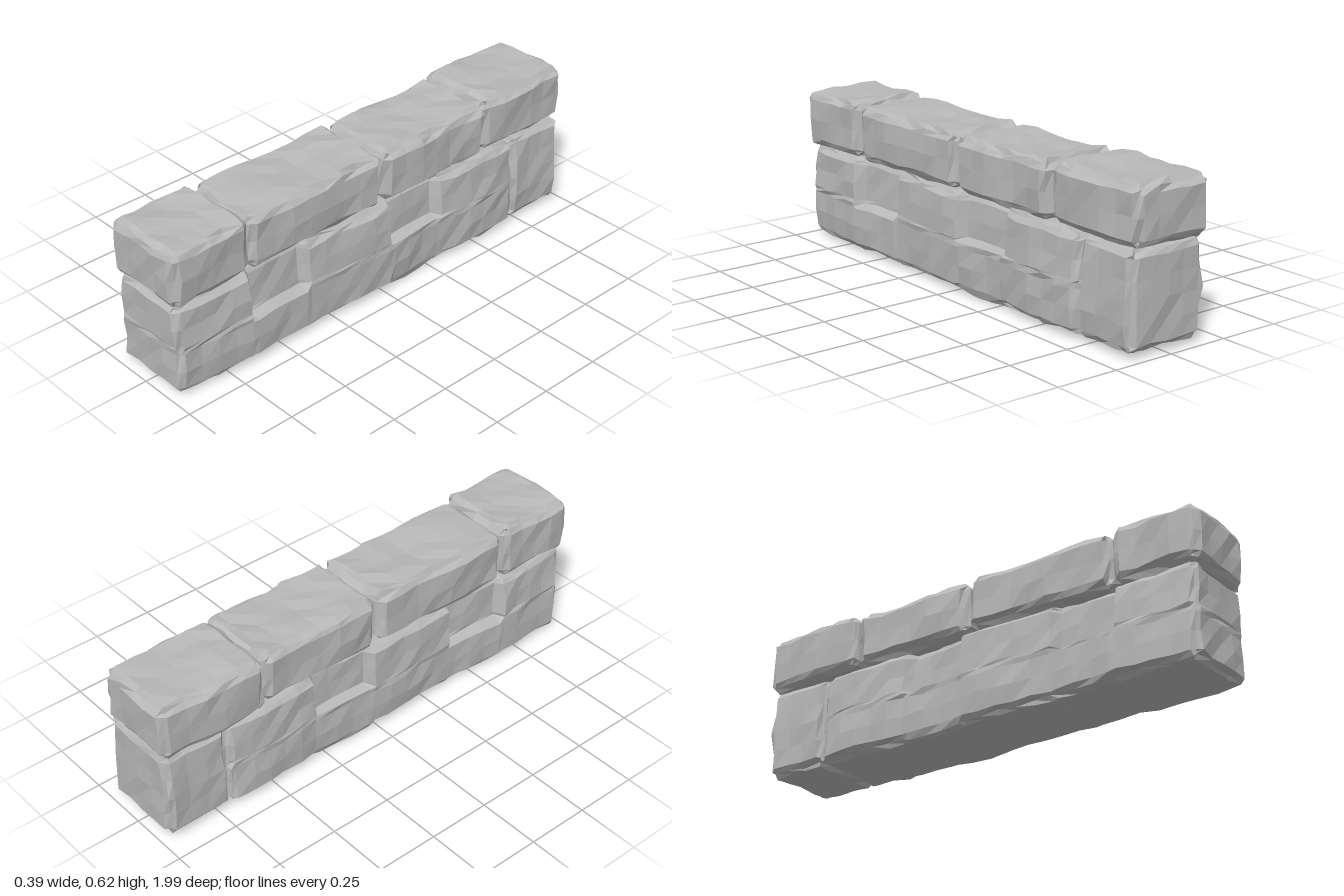
import * as THREE from 'three';

const stoneGrey = new THREE.MeshStandardMaterial({ color: 0xb8b8b8 });
stoneGrey.name = 'stone grey';

// Repeatable noise from -1 to 1
function noise(i, j, k, seed) {
  const s = Math.sin(i * 12.99 + j * 78.23 + k * 37.72 + seed * 19.17) * 43758.55;
  return (s - Math.floor(s)) * 2 - 1;
}

// Grid lines from a to b, with a bevel line beside each end and optional extra lines
function gridLines(a, b, bevel, step, extra = []) {
  const fixed = [a, a + bevel, ...extra, b - bevel, b].sort((p, q) => p - q);
  const lines = [a];
  for (let n = 1; n < fixed.length; n++) {
    const from = fixed[n - 1], to = fixed[n];
    const parts = Math.max(1, Math.round((to - from) / step));
    for (let p = 1; p <= parts; p++) lines.push(from + (to - from) * p / parts);
  }
  return lines;
}

// Chipped, bevelled block; shape(p) may carve or bend each point
function stone(name, seed, [x0, x1], [y0, y1], [z0, z1], bevel, options = {}) {
  const lines = [
    gridLines(x0, x1, bevel, 0.075),
    gridLines(y0, y1, bevel, 0.075, options.yLines),
    gridLines(z0, z1, bevel, 0.08, options.zLines),
  ];
  const seg = lines.map(l => l.length - 1);
  const indexed = new THREE.BoxGeometry(1, 1, 1, ...seg);
  const pos = indexed.attributes.position;
  const p = new THREE.Vector3();
  for (let v = 0; v < pos.count; v++) {
    p.fromBufferAttribute(pos, v);
    const id = p.toArray().map((c, a) => Math.round((c + 0.5) * seg[a]));
    const side = id.map((n, a) => (n === 0 ? -1 : n === seg[a] ? 1 : 0));
    const corner = side.filter(s => s !== 0).length;
    const pull = corner > 1 ? bevel * (corner === 3 ? 0.62 : 0.5) * (1 + 0.4 * noise(...id, seed + 5)) : 0;
    const at = id.map((n, a) => {
      const wobble = side[a] !== 0 ? 0.006 * noise(...id, seed + a) : 0.004 * noise(...id, seed + a + 9);
      return lines[a][n] - side[a] * pull + wobble;
    });
    p.fromArray(at);
    if (options.shape) options.shape(p, side, id.map((n, a) => lines[a][n]));
    pos.setXYZ(v, p.x, p.y, p.z);
  }
  // Separate faces give hard facets
  const geometry = indexed.toNonIndexed();
  geometry.computeVertexNormals();
  const mesh = new THREE.Mesh(geometry, stoneGrey);
  mesh.name = name;
  return mesh;
}

export function createModel() {
  const wall = new THREE.Group();
  wall.name = 'stoneWall';

  // Pockets [zMin, zMax, ledge height] where set-back stones fill the lower course
  const pockets = [[0.39, 0.63, 0.205], [-0.28, -0.045, 0.215]];

  // Lower course: slight belly, wavy faces and the pockets on both sides
  const bend = (p, side, grid) => {
    const t = THREE.MathUtils.clamp(p.y / 0.38, 0, 1);
    p.x *= 0.95 + 0.1 * Math.sin(Math.PI * (0.25 + 0.7 * t));
    p.x += 0.007 * Math.sin(p.z * 11 + 1) * (side[0] || 0);
    if (side[1] < 0) p.y -= 0.014 * Math.exp(-(((p.z + 0.15) / 0.1) ** 2));
    for (const [a, b, ledge] of pockets) {
      const inside = grid[2] > a - 0.001 && grid[2] < b + 0.001 && grid[1] > ledge - 0.001;
      if (inside) p.x *= 0.76;
    }
    p.y = Math.max(0, p.y);
  };
  const pocketZ = pockets.flatMap(([a, b]) => [a - 0.025, a, b, b + 0.025]);
  const lower = new THREE.Group();
  lower.name = 'lowerCourse';
  lower.add(
    stone('longBaseStone', 3, [-0.163, 0.173], [0.012, 0.385], [-0.705, 0.975], 0.028,
      { yLines: [0.185, 0.205, 0.215], zLines: pocketZ, shape: bend }),
    stone('backBaseStone', 8, [-0.166, 0.168], [0.016, 0.385], [-0.978, -0.7], 0.03, { shape: bend }),
  );
  wall.add(lower);

  // Coping: four cap stones with gently uneven tops
  const caps = new THREE.Group();
  caps.name = 'copingStones';
  const capData = [
    ['frontCap', [-0.168, 0.182], [0.64, 0.99], 0.612],
    ['frontMiddleCap', [-0.168, 0.17], [0.003, 0.638], 0.602],
    ['backMiddleCap', [-0.168, 0.17], [-0.535, -0.003], 0.602],
    ['backCap', [-0.188, 0.16], [-0.988, -0.537], 0.61],
  ];
  capData.forEach(([name, xs, zs, top], n) => {
    caps.add(stone(name, 20 + n * 7, xs, [0.382, top], zs, 0.034, {
      shape: (p, side) => {
        if (side[1] > 0) p.y += 0.005 * Math.sin(p.z * 13 + n);
        p.x += 0.005 * side[0] * Math.sin(p.z * 15 + n * 2);
      },
    }));
  });
  wall.add(caps);
  return wall;
}
